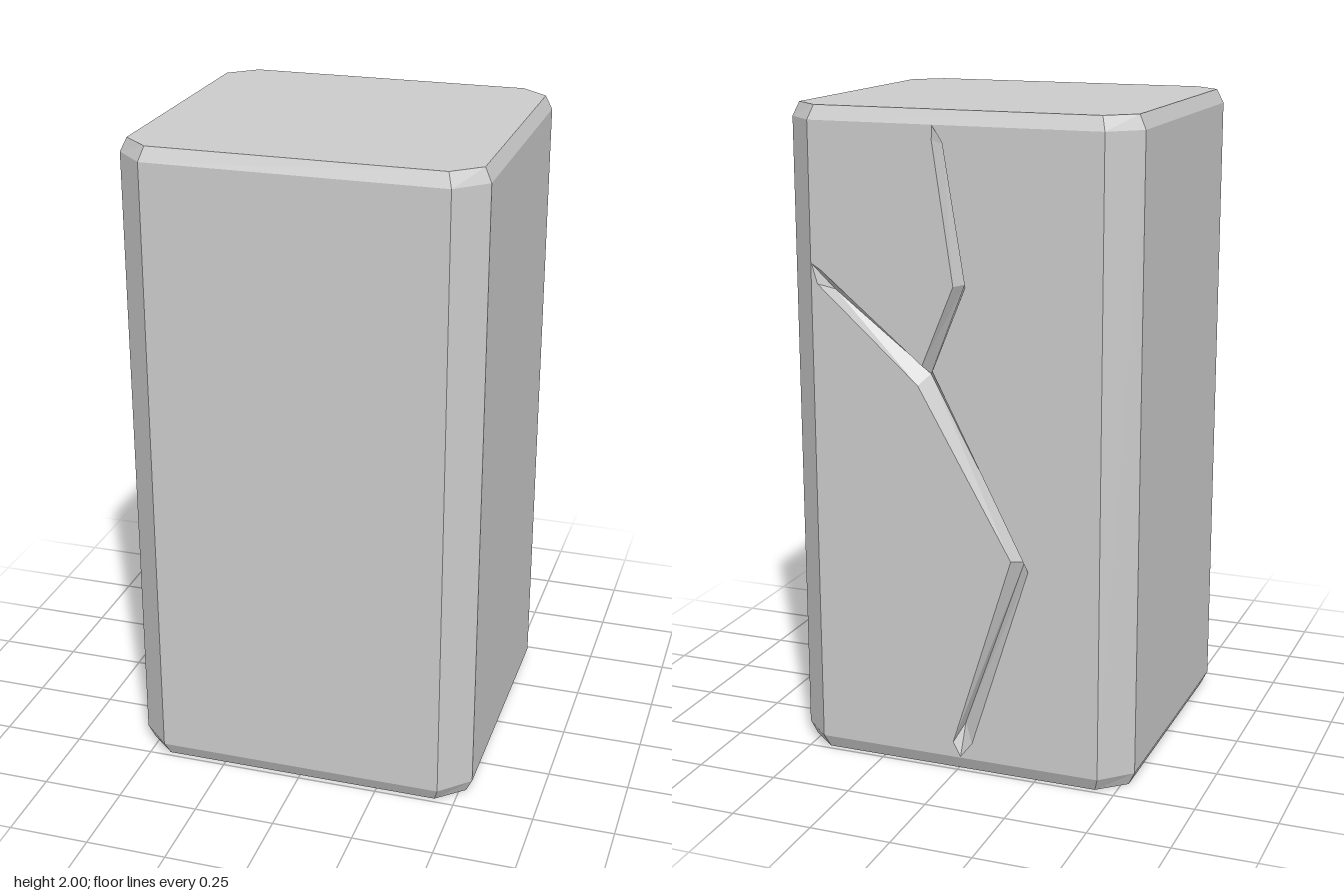
import * as THREE from 'three';

const Z = 0.503, LOW = 0.042, HIGH = 1.958, DEPTH = 0.045;

function mesh(name, positions, side = THREE.FrontSide) {
  const g = new THREE.BufferGeometry();
  g.setAttribute('position', new THREE.Float32BufferAttribute(positions.flat(), 3));
  g.computeVertexNormals();
  const m = new THREE.Mesh(g, new THREE.MeshStandardMaterial({ color: 0xcccccc, flatShading: true, side }));
  m.name = name;
  return m;
}

// Octagonal ring: (ax, z) and (x, az) are the two ends of each cut corner
function ring(y, x, z, ax, az) {
  return [[ax, z], [x, az], [x, -az], [ax, -z], [-ax, -z], [-x, -az], [-x, az], [-ax, z]]
    .map(([px, pz]) => [px, y, pz]);
}

export function createModel() {
  const group = new THREE.Group();
  group.name = 'crackedBlock';

  // Bevelled block, leaving the back face open for the cracked panel
  const inset = [0.52, 0.483, 0.437, 0.41], full = [0.54, Z, 0.45, 0.417];
  const rings = [ring(0, ...inset), ring(LOW, ...full), ring(HIGH, ...full), ring(2, ...inset)];
  const body = [];
  for (let r = 0; r < 3; r++) {
    for (let i = 0; i < 8; i++) {
      if (r === 1 && i === 3) continue;
      const j = (i + 1) % 8, a = rings[r], b = rings[r + 1];
      body.push(a[i], a[j], b[j], a[i], b[j], b[i]);
    }
  }
  for (let i = 1; i < 7; i++) {
    const t = rings[3], b = rings[0];
    body.push(t[0], t[i], t[i + 1], b[0], b[i + 1], b[i]);
  }
  group.add(mesh('block', body));

  // Deepest line of the forked crack
  const spine = {
    start: [0.395, 1.46], fork: [0.09, 1.228], bend: [-0.203, 0.682], end: [-0.012, 0.14],
    branchBend: [-0.018, 1.5], branchTop: [0.046, 1.9],
  };
  // Crack outline on the surface, each point tied to its place on the spine
  const outline = [
    [0.448, 1.54, 'start'], [0.42, 1.523, 'start'], [0.1, 1.26, 'fork'],
    [0, 1.5, 'branchBend'], [0.062, 1.915, 'branchTop'], [0.06, 1.956, 'branchTop'],
    [0.03, 1.91, 'branchTop'], [-0.037, 1.5, 'branchBend'], [0.067, 1.247, 'fork'],
    [-0.23, 0.667, 'bend'], [-0.05, 0.095, 'end'], [-0.012, 0.046, 'end'],
    [0.012, 0.09, 'end'], [-0.176, 0.693, 'bend'], [0.114, 1.2, 'fork'], [0.43, 1.48, 'start'],
  ];

  // Back panel with the crack cut out
  const panel = new THREE.Shape([[-0.45, LOW], [0.45, LOW], [0.45, HIGH], [-0.45, HIGH]]
    .map(([x, y]) => new THREE.Vector2(x, y)));
  panel.holes.push(new THREE.Path(outline.map(([x, y]) => new THREE.Vector2(-x, y))));
  const back = new THREE.Mesh(new THREE.ShapeGeometry(panel),
    new THREE.MeshStandardMaterial({ color: 0xcccccc, flatShading: true }));
  back.name = 'backPanel';
  back.rotation.y = Math.PI;
  back.position.z = -Z;
  group.add(back);

  // Sloping walls from the outline down to the spine
  const walls = [];
  outline.forEach(([x, y, s], i) => {
    const [nx, ny, ns] = outline[(i + 1) % outline.length];
    const a = [x, y, -Z], b = [nx, ny, -Z];
    const c = [...spine[ns], -Z + DEPTH], d = [...spine[s], -Z + DEPTH];
    walls.push(a, b, c);
    if (s !== ns) walls.push(a, c, d);
  });
  group.add(mesh('crackWalls', walls, THREE.DoubleSide));

  return group;
}
